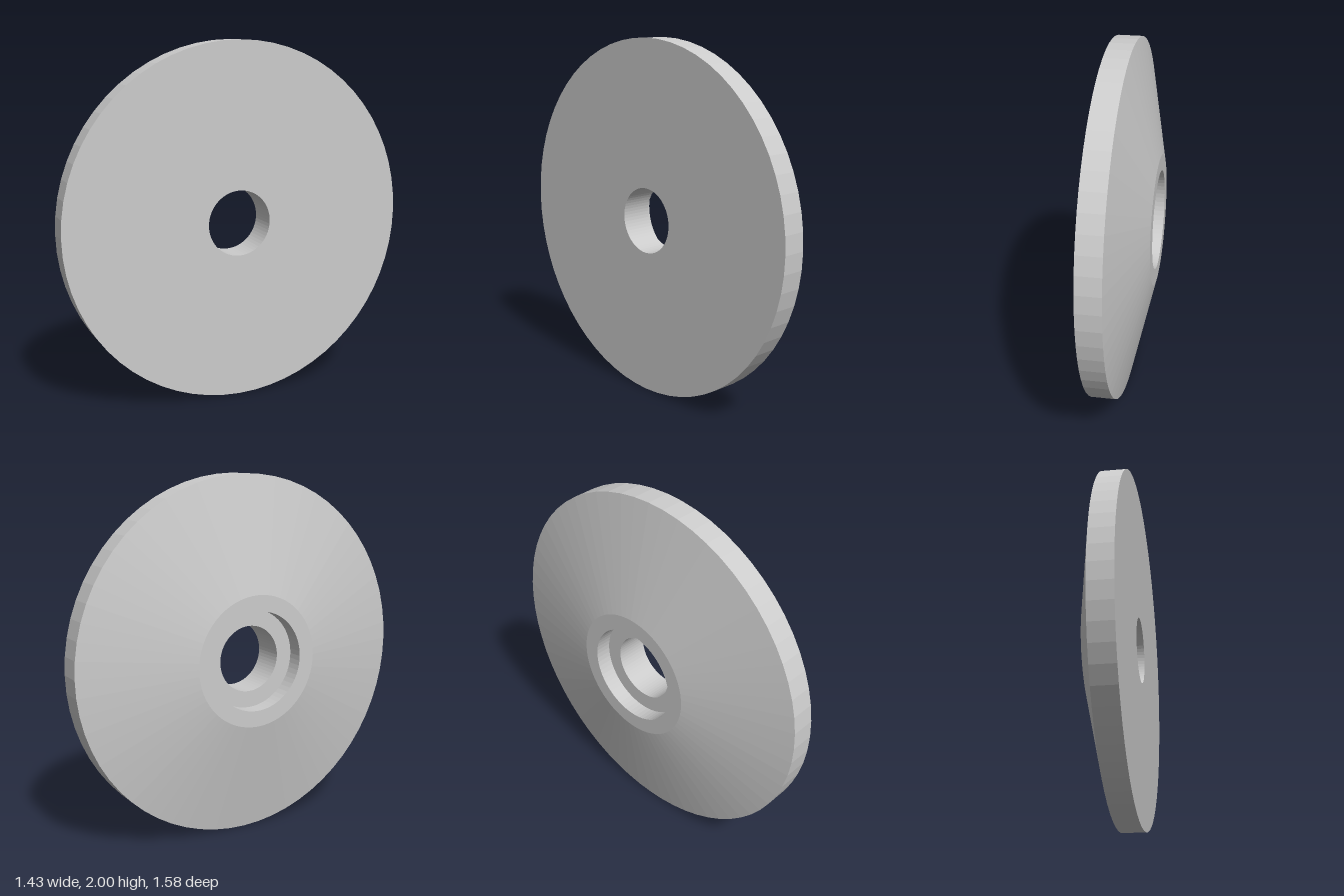
import * as THREE from 'three';

export function createModel() {
  const group = new THREE.Group();
  group.name = 'wheelDisc';

  // Closed cross-section (radius, distance along the axis), front face at the top
  const section = [
    [0.184, -0.115], // counterbore floor, inner edge
    [0.276, -0.115], // counterbore floor, outer edge
    [0.276, -0.206], // hub face, inner edge
    [0.366, -0.206], // hub face, outer edge
    [1, -0.067],     // cone meets rim
    [1, 0.067],      // front edge of rim
    [0.184, 0.067],  // bore at front face
    [0.184, -0.115],
  ].map(([r, h]) => new THREE.Vector2(r, h));

  const geometry = new THREE.LatheGeometry(section, 64);
  geometry.rotateX(Math.PI / 2); // axis to +z

  const disc = new THREE.Mesh(
    geometry,
    new THREE.MeshStandardMaterial({ color: 0xcccccc, flatShading: true })
  );
  disc.name = 'coneBackedDisc';
  disc.position.y = 1;
  disc.rotation.y = 0.844; // turned towards the left
  group.add(disc);

  return group;
}
